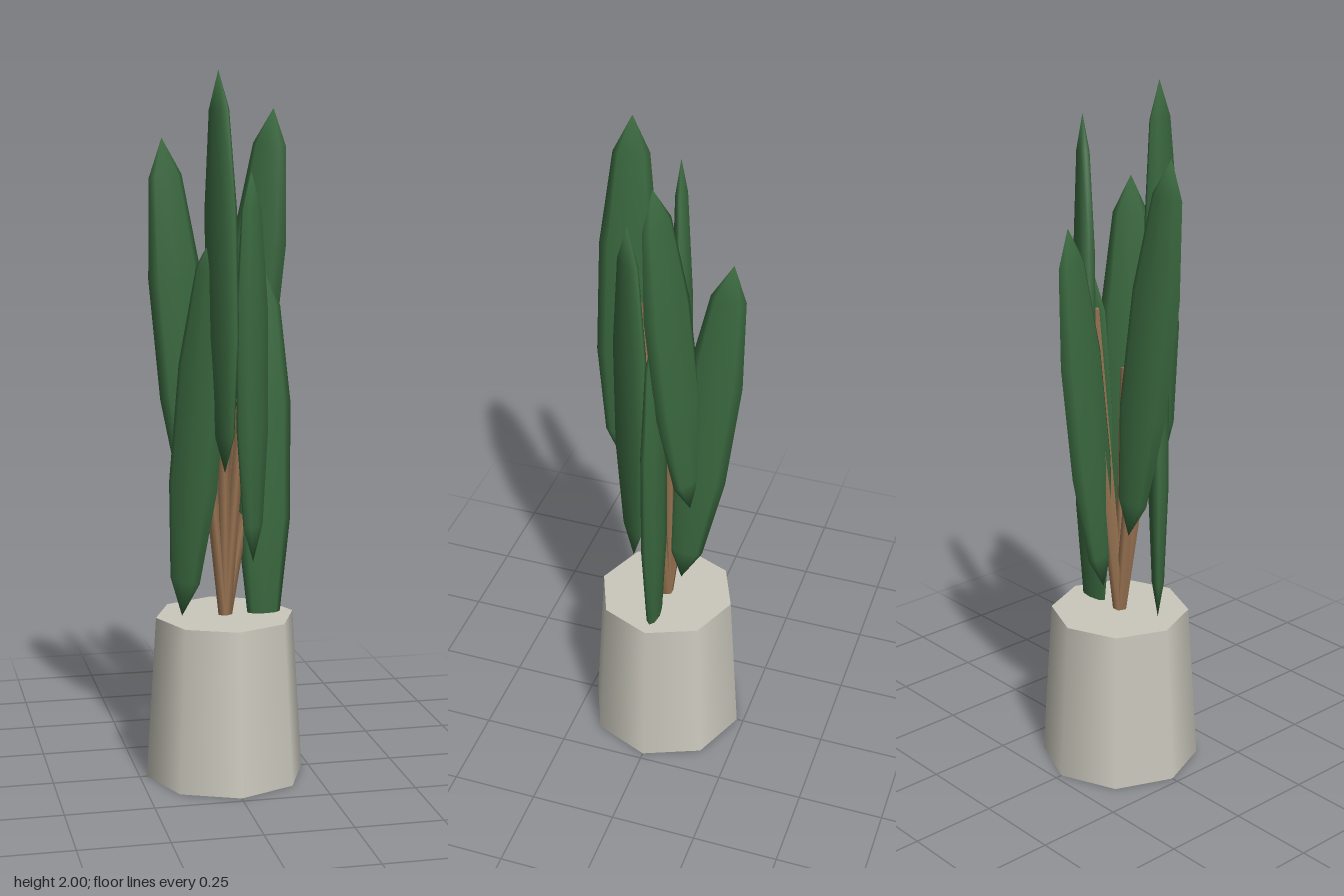
import * as THREE from 'three';

const potMaterial = new THREE.MeshStandardMaterial({ color: 0xcbc9bd });
const leafMaterial = new THREE.MeshStandardMaterial({ color: 0x3b6a40 });
const stemMaterial = new THREE.MeshStandardMaterial({ color: 0x9c7654 });

const SOIL = 0.47;
const LEAF_WIDTH = 0.165;
const LEAF_THICKNESS = 0.06;

// tip and base points, and the horizontal direction (x, z) of the leaf's width
const LEAVES = [
  { tip: [-0.18, 1.82, 0.02], base: [-0.07, 0.73, -0.03], across: [1, -0.2] },
  { tip: [-0.04, 2.0, 0.105], base: [-0.03, 0.91, 0.145], across: [0.3, 1] },
  { tip: [0.14, 1.9, -0.01], base: [0.045, 0.84, -0.085], across: [1, 0.6] },
  { tip: [0.055, 1.73, 0.09], base: [0.065, 0.64, 0.08], across: [0.65, -0.75] },
  { tip: [0.0, 1.635, -0.185], base: [0.015, 0.55, -0.05], across: [-0.1, -1] },
  { tip: [0.11, 1.46, 0.0], base: [0.115, 0.37, 0.0], across: [1, 0] },
  { tip: [-0.05, 1.57, 0.1], base: [-0.13, 0.48, 0.03], across: [1, 0.9] },
];

// Flattened low-poly spindle, its long axis running from base to tip
function makeLeaf(tip, base, across) {
  const axis = tip.clone().sub(base);
  const length = axis.length();
  const up = axis.normalize();
  const side = new THREE.Vector3(across[0], 0, across[1]);
  side.addScaledVector(up, -side.dot(up)).normalize();
  const normal = new THREE.Vector3().crossVectors(side, up);

  const geometry = new THREE.SphereGeometry(0.5, 8, 5);
  geometry.scale(LEAF_WIDTH, length, LEAF_THICKNESS);
  const leaf = new THREE.Mesh(geometry, leafMaterial);
  leaf.name = 'leaf';
  leaf.quaternion.setFromRotationMatrix(new THREE.Matrix4().makeBasis(side, up, normal));
  leaf.position.copy(tip).add(base).multiplyScalar(0.5);
  return leaf;
}

// Straight five-sided stem between two points
function makeStem(from, to) {
  const axis = to.clone().sub(from);
  const stem = new THREE.Mesh(new THREE.CylinderGeometry(0.015, 0.018, axis.length(), 5), stemMaterial);
  stem.name = 'stem';
  stem.position.copy(from).add(to).multiplyScalar(0.5);
  stem.quaternion.setFromUnitVectors(new THREE.Vector3(0, 1, 0), axis.normalize());
  return stem;
}

export function createModel() {
  const model = new THREE.Group();
  model.name = 'pottedPlant';

  // Eight-sided pot, wider at the foot, closed flat at the top
  const pot = new THREE.Mesh(new THREE.CylinderGeometry(0.2, 0.23, SOIL, 8), potMaterial);
  pot.name = 'pot';
  pot.position.y = SOIL / 2;
  model.add(pot);

  // Each stem fans out from the pot's middle to the inner face of its leaf
  const stems = new THREE.Group();
  stems.name = 'stems';
  const leaves = new THREE.Group();
  leaves.name = 'leaves';
  const root = new THREE.Vector3(0, SOIL - 0.02, 0);
  for (const { tip, base, across } of LEAVES) {
    const leaf = makeLeaf(new THREE.Vector3(...tip), new THREE.Vector3(...base), across);
    leaves.add(leaf);
    const end = leaf.position.clone().multiply(new THREE.Vector3(0.72, 1, 0.72));
    stems.add(makeStem(root, end));
  }
  model.add(stems, leaves);
  return model;
}
